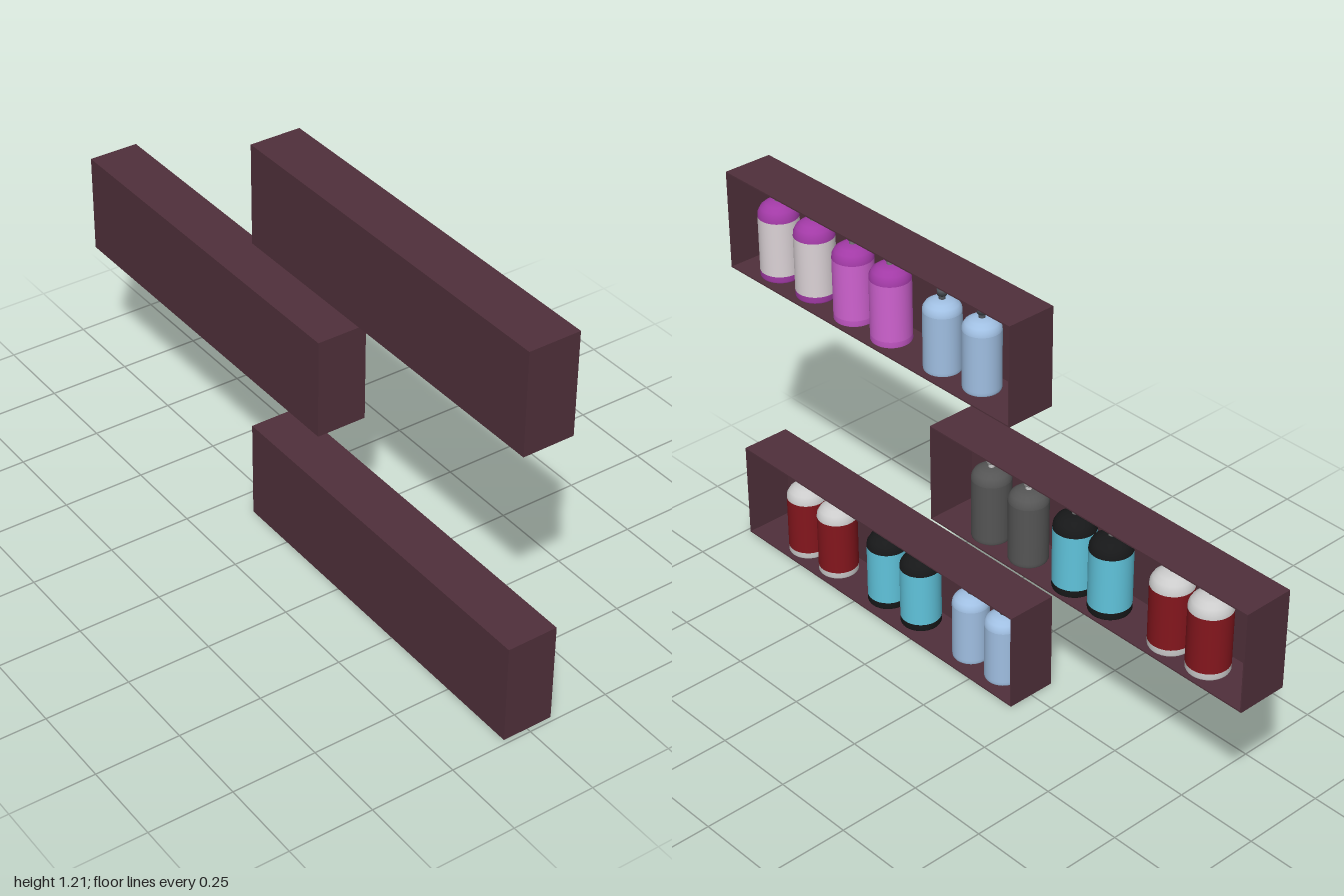
import * as THREE from 'three';

const mat = (color) => new THREE.MeshStandardMaterial({ color, side: THREE.DoubleSide });
const SHELF = mat(0x50303b);
const NOZZLE = mat(0x777777), PALE_NOZZLE = mat(0xc8c8c8), DARK_NOZZLE = mat(0x50555c);

// Can styles: r radius, h height to top of dome, dome height, band height at the foot
const STYLES = {
  white: { r: 0.059, h: 0.234, dome: 0.047, band: 0.02, body: mat(0xdcd3d7), trim: mat(0xa23aa6), nozzle: NOZZLE },
  orchid: { r: 0.059, h: 0.232, dome: 0.042, band: 0.02, body: mat(0xcf62d0), trim: mat(0xa23aa6), foot: mat(0xc457c6), nozzle: NOZZLE },
  blue: { r: 0.054, h: 0.213, dome: 0.034, band: 0.012, body: mat(0xa0bfe2), trim: mat(0xa0bfe2), nozzle: DARK_NOZZLE },
  grey: { r: 0.056, h: 0.222, dome: 0.036, band: 0.012, body: mat(0x555555), trim: mat(0x555555), nozzle: PALE_NOZZLE },
  cyan: { r: 0.06, h: 0.232, dome: 0.043, band: 0.022, body: mat(0x60c4dc), trim: mat(0x171819), nozzle: NOZZLE },
  red: { r: 0.06, h: 0.23, dome: 0.042, band: 0.02, body: mat(0x84161d), trim: mat(0xdcd8d8), nozzle: NOZZLE },
};

function lathe(name, points, material) {
  const geometry = new THREE.LatheGeometry(points.map(([x, y]) => new THREE.Vector2(x, y)), 32);
  const mesh = new THREE.Mesh(geometry, material);
  mesh.name = name;
  return mesh;
}

function sprayCan(style) {
  const { r, h, dome, band, body, trim, foot, nozzle } = STYLES[style];
  const can = new THREE.Group();
  can.name = style + 'SprayCan';
  const s = h - dome;
  can.add(
    lathe('base', [[0, 0], [r * 0.97, 0]], foot ?? trim),
    lathe('footBand', [[r * 0.97, 0], [r, 0.004], [r, band]], foot ?? trim),
    lathe('body', [[r, band], [r, s]], body),
    lathe('dome', [[r, s], [r * 0.97, s + dome * 0.3], [r * 0.85, s + dome * 0.6],
      [r * 0.62, s + dome * 0.85], [r * 0.35, h - 0.001], [0, h]], trim),
    lathe('neck', [[0.009, h - 0.003], [0.009, h + 0.012]], nozzle),
    lathe('nozzle', [[0, h + 0.011], [0.013, h + 0.011], [0.014, h + 0.028], [0, h + 0.028]], nozzle)
  );
  return can;
}

// Thin-walled box, open towards +x
function shelfBox(depth, height, length) {
  const box = new THREE.Group();
  box.name = 'shelfBox';
  const t = 0.004;
  const panel = (name, size, pos) => {
    const mesh = new THREE.Mesh(new THREE.BoxGeometry(...size), SHELF);
    mesh.name = name;
    mesh.position.set(...pos);
    box.add(mesh);
  };
  panel('backPanel', [t, height, length], [(t - depth) / 2, height / 2, 0]);
  for (const [name, y] of [['floorPanel', t / 2], ['topPanel', height - t / 2]])
    panel(name, [depth, t, length], [0, y, 0]);
  for (const [name, side] of [['frontEnd', 1], ['rearEnd', -1]])
    panel(name, [depth, height, t], [0, height / 2, side * (length - t) / 2]);
  return box;
}

// Each can: style, z position, foot height
const SHELVES = [
  { name: 'topShelf', x: 0.001, y: 0.91, z: 0.421, cans: [
    ['white', 0.864, 0.917], ['white', 0.708, 0.917], ['orchid', 0.543, 0.912],
    ['orchid', 0.388, 0.912], ['blue', 0.179, 0.912], ['blue', 0.024, 0.922]] },
  { name: 'middleShelf', x: -0.003, y: 0.464, z: -0.421, cans: [
    ['grey', -0.013, 0.468], ['grey', -0.158, 0.468], ['cyan', -0.334, 0.468],
    ['cyan', -0.468, 0.468], ['red', -0.687, 0.473], ['red', -0.821, 0.473]] },
  { name: 'bottomShelf', x: 0.001, y: 0, z: 0.408, cans: [
    ['red', 0.794, 0.006], ['red', 0.655, 0.006], ['cyan', 0.43, 0.016],
    ['cyan', 0.286, 0.016], ['blue', 0.072, 0.013], ['blue', -0.061, 0.013]] },
];

export function createModel() {
  const model = new THREE.Group();
  model.name = 'sprayCanShelves';
  for (const { name, x, y, z, cans } of SHELVES) {
    const shelf = new THREE.Group();
    shelf.name = name;
    const box = shelfBox(0.153, 0.302, 1.157);
    box.position.set(x, y, z);
    shelf.add(box);
    for (const [style, canZ, canY] of cans) {
      const can = sprayCan(style);
      can.position.set(0.005, canY, canZ);
      shelf.add(can);
    }
    model.add(shelf);
  }
  return model;
}
